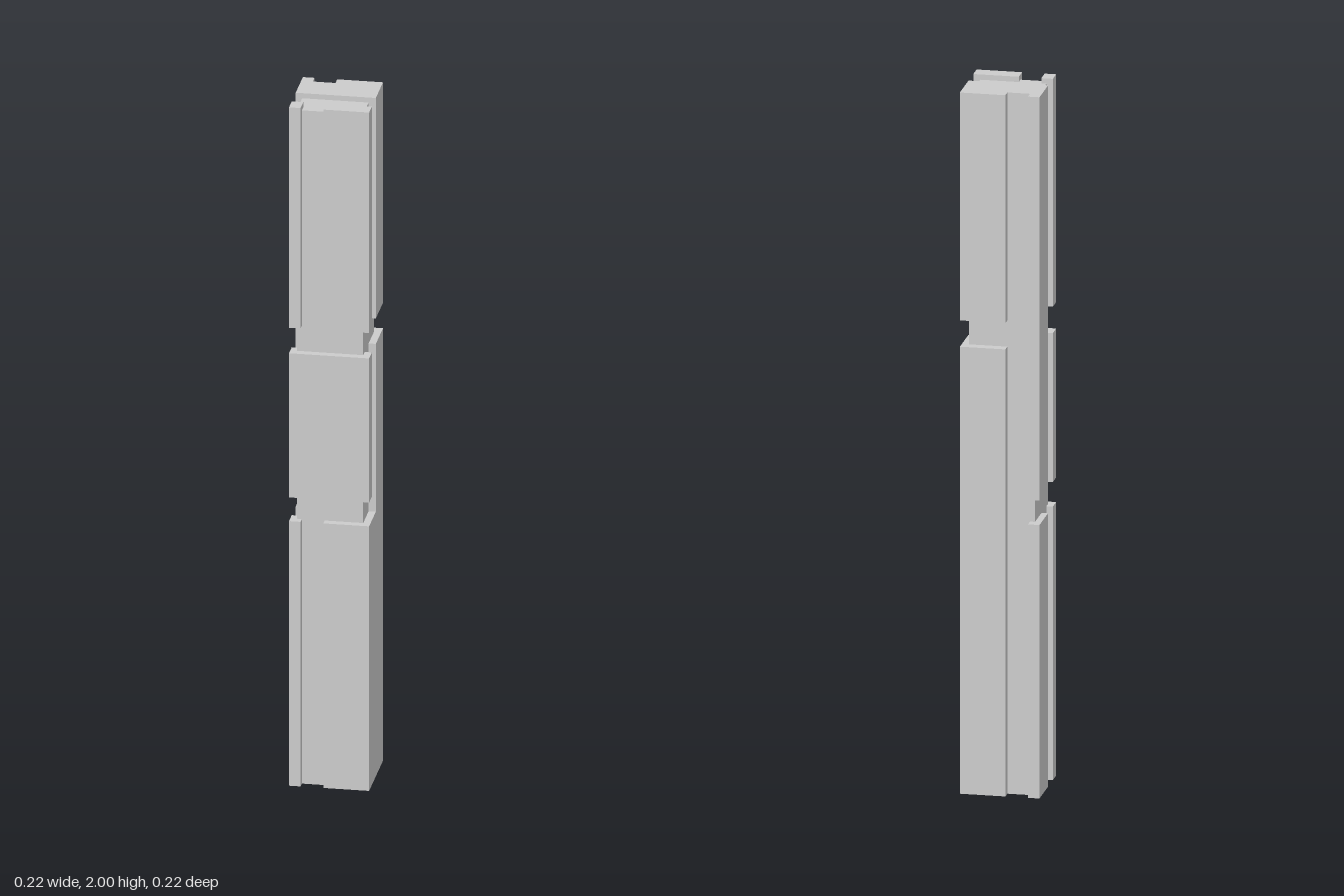
import * as THREE from 'three';

const material = new THREE.MeshStandardMaterial({ color: 0xcccccc });

// Box between two corners, given as [min, max] per axis
function block(name, [x0, x1], [y0, y1], [z0, z1]) {
  const mesh = new THREE.Mesh(new THREE.BoxGeometry(x1 - x0, y1 - y0, z1 - z0), material);
  mesh.position.set((x0 + x1) / 2, (y0 + y1) / 2, (z0 + z1) / 2);
  mesh.name = name;
  return mesh;
}

export function createModel() {
  const group = new THREE.Group();
  group.name = 'pillar';

  const H = 0.111;
  // Vertical channels leave a narrow and a wide column on each axis
  const narrowX = [-H, -0.079], gapX = [-0.079, -0.016], wideX = [-0.016, H];
  const backZ = [-H, 0.004], gapZ = [0.004, 0.067], frontZ = [0.067, H];
  // Levels of the two horizontal grooves
  const low = [0, 0.78], mid = [0.85, 1.275], high = [1.35, 2];

  // Recessed inner post
  group.add(block('core', [-0.093, 0.091], [0, 1.985], [-0.084, 0.09]));

  // Raised corner columns, cut where a groove crosses them
  const columns = [
    ['frontRightColumn', narrowX, frontZ, [low, mid, high]],
    ['frontLeftColumn', wideX, frontZ, [low, mid, high]],
    ['backLeftColumn', wideX, backZ, [[0, mid[1]], high]],
    ['backRightColumn', narrowX, backZ, [low, [mid[0], 2]]],
  ];
  for (const [name, x, z, spans] of columns) {
    const column = new THREE.Group();
    column.name = name;
    spans.forEach((y, i) => column.add(block(`${name}Segment${i + 1}`, x, y, z)));
    group.add(column);
  }

  // Panels that close a channel
  group.add(block('frontMiddlePanel', gapX, mid, frontZ));
  group.add(block('sideLowerPanel', [0.05, H], low, gapZ));
  // Raised rear half of the top
  group.add(block('topCap', gapX, [1.95, 2], [-0.084, backZ[1]]));

  return group;
}
